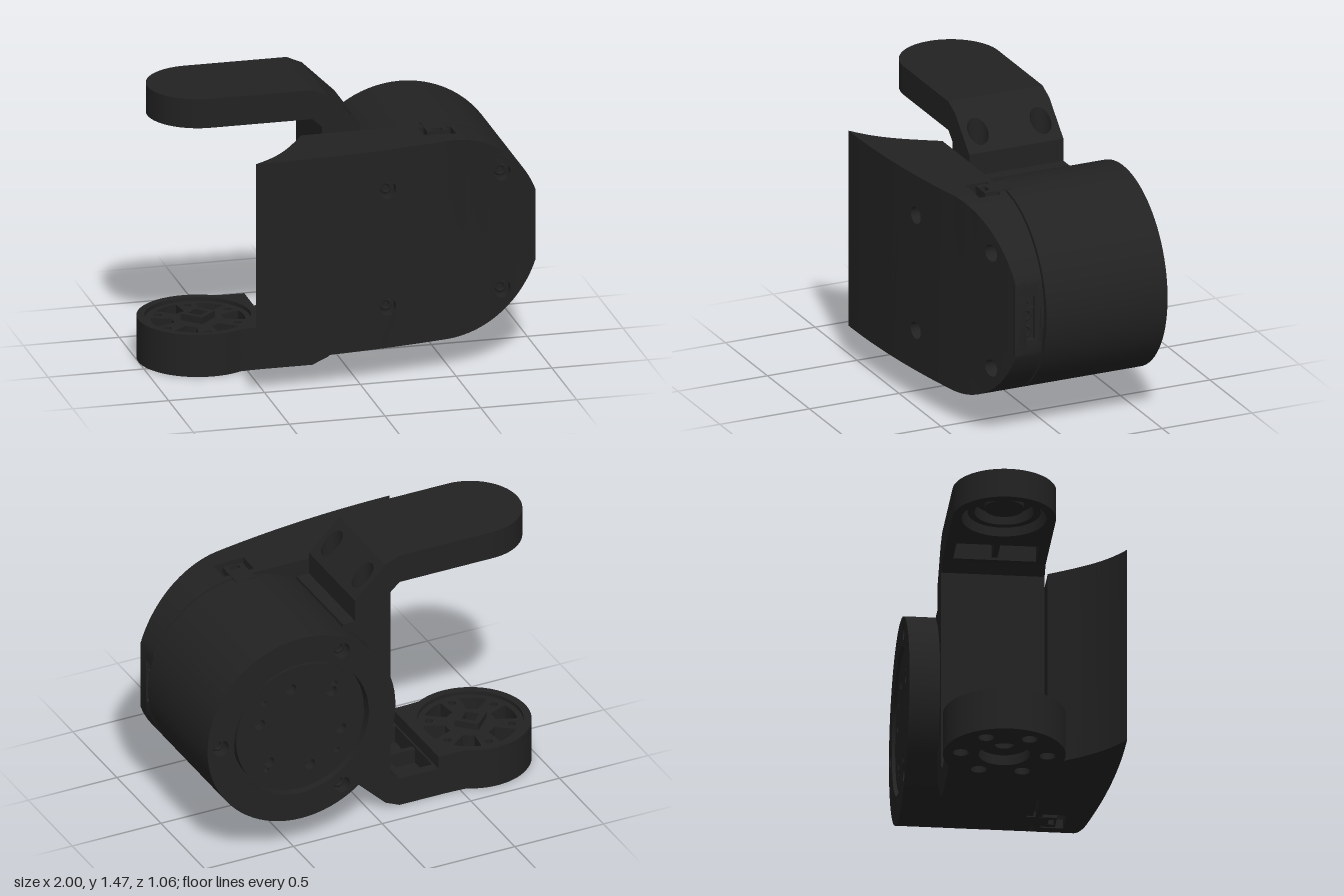
import * as THREE from 'three';
import { toCreasedNormals } from 'three/addons/utils/BufferGeometryUtils.js';

const mat = new THREE.MeshStandardMaterial({ color: 0x222222 });
const R = 0.53, CX = 0.47, CY = 0.705, BACK = 0.155, END = 0.965;

function add(parent, name, geo, x = 0, y = 0, z = 0) {
  const m = new THREE.Mesh(geo, mat);
  m.name = name;
  m.position.set(x, y, z);
  parent.add(m);
  return m;
}
const box = (p, name, x0, x1, y0, y1, z0, z1) =>
  add(p, name, new THREE.BoxGeometry(x1 - x0, y1 - y0, z1 - z0), (x0 + x1) / 2, (y0 + y1) / 2, (z0 + z1) / 2);
const poly = pts => new THREE.Shape(pts.map(p => new THREE.Vector2(...p)));
const rect = (x0, x1, y0, y1) => poly([[x0, y0], [x1, y0], [x1, y1], [x0, y1]]);
const disc = (x, y, r) => new THREE.Shape().absarc(x, y, r, 0, Math.PI * 2, false);
const ring = (n, r, size, x = 0, y = 0, a0 = 0) => Array.from({ length: n }, (_, i) => {
  const a = a0 + i * Math.PI * 2 / n;
  return disc(x + r * Math.cos(a), y + r * Math.sin(a), size);
});

// Extrude between two depths, each a number or a function of x
function extrude(shape, z0, z1, holes = [], segs = 24) {
  shape.holes.push(...holes);
  const at = (f, x) => (typeof f === 'number' ? f : f(x));
  const g = new THREE.ExtrudeGeometry(shape, { depth: 1, bevelEnabled: false, curveSegments: segs });
  const p = g.attributes.position;
  for (let i = 0; i < p.count; i++) p.setZ(i, at(p.getZ(i) > 0.5 ? z1 : z0, p.getX(i)));
  return toCreasedNormals(g, 0.5);
}
// The same, standing up along y
const slab = (...a) => extrude(...a).rotateX(-Math.PI / 2);

function motor() {
  const g = new THREE.Group();
  g.name = 'motor';
  g.position.set(CX, CY, 0);
  add(g, 'motorHousing', new THREE.CylinderGeometry(R, R, 0.615, 80).rotateX(Math.PI / 2), 0, 0, -0.1625);
  add(g, 'motorNeck', new THREE.CylinderGeometry(0.5, 0.5, 0.04, 64).rotateX(Math.PI / 2), 0, 0, 0.145);
  // Rear rim with three counterbored screws around a recessed output flange
  add(g, 'rearRim', extrude(disc(0, 0, R), -0.53, -0.47, [disc(0, 0, 0.38), ...ring(3, 0.455, 0.045)], 40));
  add(g, 'outputFlange', extrude(disc(0, 0, 0.36), -0.515, -0.47,
    [...ring(6, 0.24, 0.03, 0, 0, 0.3), ...ring(4, 0.28, 0.016, 0, 0, 0.75)], 32));
  for (let i = 0; i < 3; i++) {
    const a = i * Math.PI * 2 / 3;
    add(g, 'rearScrew', new THREE.TorusGeometry(0.026, 0.01, 8, 20), 0.455 * Math.cos(a), 0.455 * Math.sin(a), -0.485);
  }
  return g;
}

function cover() {
  const g = new THREE.Group();
  g.name = 'frontCover';
  g.position.y = CY;
  const half = x => (x < CX ? R : Math.sqrt(R * R - (x - CX) ** 2));
  const front = x => 0.525 - 0.098 * (x + 0.55) ** 2;
  const back = x => {
    const t = Math.max(0, (-0.22 - x) / 0.33);
    return BACK + 0.37 * t + 0.05 * Math.sin(Math.PI * Math.min(t, 1));
  };
  const edge = (x0, x1, n, s, inset = 0) => Array.from({ length: n + 1 }, (_, i) => {
    const x = x0 + (x1 - x0) * i / n;
    return [x, s * (half(x) - inset)];
  });
  const strip = (x0, x1, n) => poly([...edge(x0, x1, n, 1), ...edge(x0, x1, n, -1).reverse()]);

  // Curved front plate in upright strips; the left end is solid with a concave back
  const xs = [-0.55, -0.5, -0.44, -0.38, -0.33, -0.27, -0.22, -0.1, 0, 0.08, 0.22, 0.35, 0.47, 0.59, 0.71, 0.85, 0.91, END];
  for (let i = 0; i < xs.length - 1; i++) {
    const x0 = xs[i], x1 = xs[i + 1];
    const hx = [0.15, 0.78].find(x => x > x0 && x < x1);
    const holes = hx ? [1, -1].map(s => disc(hx, s * 0.3125, 0.045)) : [];
    add(g, 'frontPlate', extrude(strip(x0, x1, 6), x1 < -0.21 ? back : x => front(x) - 0.06, front, holes));
    if (hx) for (const s of [1, -1]) {
      const z = front(hx);
      add(g, 'screwSeat', new THREE.CylinderGeometry(0.055, 0.055, 0.02, 24).rotateX(Math.PI / 2), hx, s * 0.3125, z - 0.065);
      add(g, 'screwHead', new THREE.TorusGeometry(0.024, 0.009, 8, 20), hx, s * 0.3125, z - 0.05);
    }
  }
  add(g, 'coverBack', extrude(strip(-0.22, END, 60), BACK, 0.175));

  // Upper and lower walls, each with a window for the latch
  for (const s of [1, -1]) {
    const wall = (x0, x1, n, z0, z1) => add(g, 'coverWall',
      extrude(poly([...edge(x0, x1, n, s), ...edge(x0, x1, n, s, 0.05).reverse()]), z0, z1));
    wall(-0.22, 0.38, 10, BACK, front);
    wall(0.38, 0.55, 6, BACK, 0.19);
    wall(0.38, 0.55, 6, 0.31, front);
    wall(0.55, END, 40, BACK, front);
    add(g, 'latch', slab(rect(-0.055, 0.055, -0.265, -0.11), 0, 0.03,
      [rect(-0.028, 0.028, -0.255, -0.225)]), 0.465, s > 0 ? 0.502 : -0.532);
  }

  // Flat end panel with a recessed socket
  const panel = extrude(rect(-0.305, -BACK, -0.19, 0.19), 0.935, END, [rect(-0.285, -0.195, -0.115, 0.12)]);
  add(g, 'socketPanel', panel.rotateY(Math.PI / 2));
  box(g, 'socketBody', 0.88, 0.945, -0.125, 0.13, 0.185, 0.29);
  for (const y of [-0.07, 0.018])
    add(g, 'roundContact', new THREE.TorusGeometry(0.027, 0.008, 8, 24).rotateY(Math.PI / 2), 0.947, y, 0.24);
  for (const z of [0.222, 0.258]) box(g, 'pin', 0.94, 0.955, 0.078, 0.092, z - 0.007, z + 0.007);
  box(g, 'socketDivider', 0.94, 0.957, 0.053, 0.061, 0.195, 0.285);
  return g;
}

// One half of the fork, drawn with its outer face on y = 0
const W = 0.2625, AX = -0.69;
function forkArm(lower) {
  const g = new THREE.Group();
  g.name = lower ? 'lowerArm' : 'upperArm';
  const r = lower ? 0.31 : W, a = lower ? Math.PI / 3 : Math.PI / 2;
  const plan = xEnd => {
    const s = new THREE.Shape().moveTo(xEnd, -W);
    s.lineTo(xEnd, W);
    s.lineTo(-0.38, W);
    s.quadraticCurveTo(-0.47, W, AX + r * Math.cos(a), r * Math.sin(a));
    s.absarc(AX, 0, r, a, Math.PI * 2 - a, false);
    s.quadraticCurveTo(-0.47, -W, -0.38, -W);
    return s;
  };
  const bore = lower ? 0.27 : 0.215;
  const tray = rect(-0.37, -0.19, -0.21, 0.21);

  // Outer plate and the hollow rim above it
  add(g, 'armPlate', slab(plan(-0.16), 0, 0.06,
    lower ? [disc(AX, 0, 0.13), ...ring(6, 0.22, 0.04, AX, 0, Math.PI / 6)] : [], 40));
  add(g, 'armRim', slab(plan(-0.16), 0.06, 0.155, [disc(AX, 0, bore), tray], 40));
  box(g, 'trayRib', -0.37, -0.19, 0.05, 0.14, -0.015, 0.015);
  if (lower) {
    add(g, 'raisedRim', slab(plan(-0.38), 0.155, 0.225, [disc(AX, 0, bore)], 40));
    // Coupling disc with wedge pockets and screw holes
    const pockets = Array.from({ length: 6 }, (_, i) => {
      const m = i * Math.PI / 3, p = new THREE.Shape();
      p.absarc(AX, 0, 0.24, m - 0.3, m + 0.3, false);
      p.absarc(AX, 0, 0.13, m + 0.22, m - 0.22, true);
      return p;
    });
    add(g, 'couplingDisc', slab(disc(AX, 0, 0.272), 0.1, 0.205,
      [disc(AX, 0, 0.05), ...pockets, ...ring(6, 0.21, 0.02, AX, 0, Math.PI / 6)], 32));
    add(g, 'couplingFloor', slab(disc(AX, 0, 0.272), 0.055, 0.1, [disc(AX, 0, 0.05)], 32));
    add(g, 'couplingHub', slab(disc(AX, 0, 0.09), 0.1, 0.24, [disc(AX, 0, 0.05)], 2));
  } else {
    add(g, 'bearingRing', slab(disc(AX, 0, 0.185), 0.05, 0.12, [disc(AX, 0, 0.15)], 32));
    add(g, 'bearingHub', slab(disc(AX, 0, 0.1), 0.05, 0.1, [], 32));
  }

  // Elbow, then the sloped shoulder with two upright screw bores
  const elbow = poly([[-0.16, 0], [-0.08, 0.035], [-0.08, 0.26], [-0.11, 0.26], [-0.11, 0.2], [-0.16, 0.155]]);
  add(g, 'elbow', extrude(elbow, -W, W));
  add(g, 'shoulder', slab(rect(-0.08, 0.09, -W, W), x => 0.035 + (x + 0.08) * 0.97, 0.26,
    [1, -1].map(s => disc(0.005, s * 0.175, 0.055))));
  for (const s of [1, -1])
    add(g, 'forkScrew', new THREE.TorusGeometry(0.03, 0.012, 8, 20).rotateX(Math.PI / 2), 0.005, 0.252, s * 0.175);
  return g;
}

export function createModel() {
  const model = new THREE.Group();
  model.name = 'motorJoint';
  model.add(motor(), cover());
  const fork = new THREE.Group();
  fork.name = 'fork';
  fork.position.z = -0.1125;
  const upper = forkArm(false);
  upper.rotation.x = Math.PI;
  upper.position.y = 1.47;
  fork.add(forkArm(true), upper);
  // Upright web joining both arms to the motor
  box(fork, 'web', -0.11, 0.09, 0.26, 1.21, -W, W);
  box(fork, 'webMount', 0.08, 0.16, 0.3, 1.15, -W, W);
  model.add(fork);
  return model;
}
